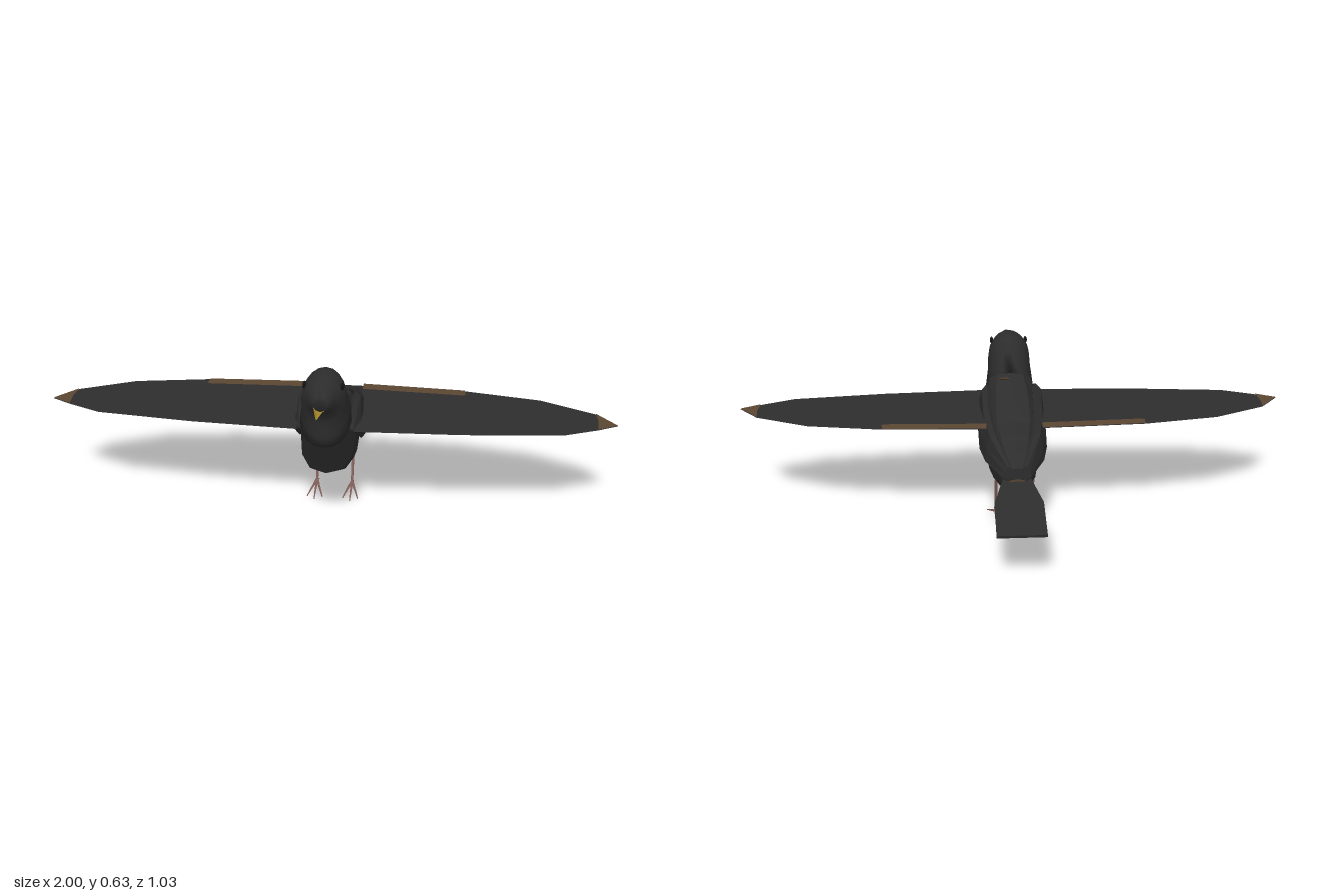
import * as THREE from 'three';

const mat = (name, color, side = THREE.FrontSide) => {
  const m = new THREE.MeshStandardMaterial({ color, side });
  m.name = name;
  return m;
};

// Skin through sections [topZ, topY, bottomZ, bottomY, halfWidth, power], listed front to back.
// Options: segments round, sideways offset per section, inward lean of the top, flat facets.
function loft(sections, { seg = 16, offsets = [], lean = 0, flat = false } = {}) {
  const pos = [], idx = [];
  const bend = (v, p) => Math.sign(v) * Math.abs(v) ** (2 / p);
  sections.forEach(([tz, ty, bz, by, hw, p = 2], i) => {
    for (let j = 0; j < seg; j++) {
      const a = (j / seg) * Math.PI * 2;
      const c = bend(Math.cos(a), p), t = (1 - c) / 2;
      pos.push((offsets[i] || 0) + hw * bend(Math.sin(a), p) - lean * c, ty + (by - ty) * t, tz + (bz - tz) * t);
    }
  });
  const last = sections.length - 1;
  for (let i = 0; i < last; i++) {
    for (let j = 0; j < seg; j++) {
      const k = (j + 1) % seg;
      const a = i * seg + j, b = i * seg + k, c = a + seg, d = b + seg;
      idx.push(a, b, c, b, d, c);
    }
  }
  // end caps
  for (let j = 1; j < seg - 1; j++) {
    idx.push(0, j + 1, j, last * seg, last * seg + j, last * seg + j + 1);
  }
  let g = new THREE.BufferGeometry();
  g.setAttribute('position', new THREE.Float32BufferAttribute(pos, 3));
  g.setIndex(idx);
  if (flat) g = g.toNonIndexed();
  g.computeVertexNormals();
  return g;
}

// Flat upward-facing plate from [x, z] corners, mirrored by side s
function plate(points, s = 1) {
  const shape = new THREE.Shape(points.map(([x, z]) => new THREE.Vector2(x * s, -z)));
  return new THREE.ShapeGeometry(shape).rotateX(-Math.PI / 2);
}

// Tapered rod between two points
function rod(a, b, ra, rb) {
  const from = new THREE.Vector3(...a), to = new THREE.Vector3(...b);
  const dir = to.clone().sub(from);
  const g = new THREE.CylinderGeometry(rb, ra, dir.length(), 6);
  g.applyQuaternion(new THREE.Quaternion().setFromUnitVectors(new THREE.Vector3(0, 1, 0), dir.normalize()));
  return g.translate(...from.add(to).multiplyScalar(0.5).toArray());
}

export function createModel() {
  const bird = new THREE.Group();
  bird.name = 'bird';
  const black = mat('blackFeather', 0x2d2d2d, THREE.DoubleSide);
  const brown = mat('brownFeather', 0x5a4632);
  const yellow = mat('yellowBeak', 0xa88a2c);
  const pink = mat('pinkLeg', 0x85615a);
  const dark = mat('darkEye', 0x141414);
  const add = (name, geometry, material, parent = bird) => {
    const m = new THREE.Mesh(geometry, material);
    m.name = name;
    parent.add(m);
    return m;
  };

  // Smooth head and neck
  add('head', loft([
    [0.415, 0.588, 0.415, 0.537, 0.024],
    [0.38, 0.608, 0.385, 0.518, 0.043],
    [0.335, 0.622, 0.364, 0.49, 0.062],
    [0.285, 0.628, 0.356, 0.465, 0.074],
    [0.245, 0.622, 0.354, 0.435, 0.078],
    [0.2, 0.585, 0.35, 0.4, 0.08],
    [0.17, 0.51, 0.342, 0.365, 0.088, 2.2],
  ], { seg: 20 }), black);

  // Faceted body
  add('body', loft([
    [0.17, 0.51, 0.342, 0.365, 0.088, 2.2],
    [0.1, 0.478, 0.26, 0.22, 0.098, 2.6],
    [0.05, 0.445, 0.18, 0.182, 0.1, 2.8],
    [-0.02, 0.397, 0.03, 0.143, 0.098, 2.8],
    [-0.1, 0.382, -0.08, 0.152, 0.084, 2.6],
    [-0.18, 0.345, -0.18, 0.195, 0.064, 2.4],
    [-0.24, 0.31, -0.24, 0.238, 0.04, 2.4],
  ], { seg: 12, flat: true }), black);

  // Curved beak
  add('beak', loft([
    [0.412, 0.59, 0.412, 0.535, 0.025],
    [0.455, 0.584, 0.45, 0.547, 0.017],
    [0.49, 0.572, 0.49, 0.554, 0.009],
    [0.515, 0.561, 0.515, 0.557, 0.002],
  ], { seg: 10 }), yellow);

  // Flat tail with a slight droop
  const tail = new THREE.Shape([[-0.05, 0], [0.05, 0], [0.085, 0.13], [0.085, 0.3], [-0.085, 0.3], [-0.085, 0.13]]
    .map(([x, y]) => new THREE.Vector2(x, y)));
  const tailGeo = new THREE.ExtrudeGeometry(tail, { depth: 0.01, bevelEnabled: false })
    .rotateX(-Math.PI / 2 - 0.23).translate(0, 0.253, -0.225);
  add('tail', tailGeo, black);

  for (const s of [1, -1]) {
    const side = new THREE.Group();
    side.name = s > 0 ? 'leftSide' : 'rightSide';
    bird.add(side);

    // Spread wing with brown rear edge and tip
    add('spreadWing', plate([[0.1, -0.1], [0.47, -0.082], [0.74, -0.035], [0.93, 0.055], [1, 0.14],
      [0.93, 0.178], [0.81, 0.23], [0.47, 0.265], [0.1, 0.282]], s).translate(0, 0.4, 0), black, side);
    add('wingEdgePatch', plate([[0.1, -0.1], [0.47, -0.082], [0.475, -0.045], [0.46, -0.04], [0.1, -0.055]], s)
      .translate(0, 0.403, 0), brown, side);
    add('wingTipPatch', plate([[0.93, 0.055], [1, 0.14], [0.93, 0.178], [0.935, 0.11]], s)
      .translate(0, 0.403, 0), brown, side);

    // Folded wing lying along the flank
    add('foldedWing', loft([
      [0.268, 0.41, 0.265, 0.392, 0.008],
      [0.2, 0.455, 0.2, 0.345, 0.018],
      [0.13, 0.482, 0.11, 0.287, 0.02, 3],
      [0.02, 0.428, 0, 0.264, 0.02, 3],
      [-0.1, 0.386, -0.1, 0.262, 0.018, 3],
      [-0.24, 0.318, -0.24, 0.27, 0.01, 3],
    ], { seg: 8, flat: true, lean: s * 0.01, offsets: [0.088, 0.098, 0.101, 0.1, 0.084, 0.035].map(x => x * s) }), black, side);

    // Eye
    add('eye', new THREE.SphereGeometry(0.013, 12, 8).scale(0.5, 1, 1).translate(s * 0.064, 0.588, 0.32), dark, side);

    // Leg, three front toes and one back toe
    const x = s * 0.067, ankle = [x, 0.035, -0.02];
    add('leg', rod([x, 0.19, -0.08], ankle, 0.006, 0.005), pink, side);
    for (const [dx, z] of [[-0.028, 0.055], [0, 0.075], [0.028, 0.055], [0, -0.077]]) {
      add('toe', rod(ankle, [x + dx, 0.003, z], 0.005, 0.002), pink, side);
    }
  }

  // Small brown patches at the nape and under the tail
  add('napePatch', new THREE.SphereGeometry(0.022, 10, 6).scale(1, 0.2, 1).rotateX(0.5).translate(0.022, 0.494, 0.15), brown);
  add('ventPatch', loft([
    [-0.205, 0.225, -0.205, 0.208, 0.03],
    [-0.236, 0.268, -0.226, 0.215, 0.042],
    [-0.242, 0.268, -0.242, 0.235, 0.034],
  ], { seg: 8, flat: true }), brown);

  return bird;
}
